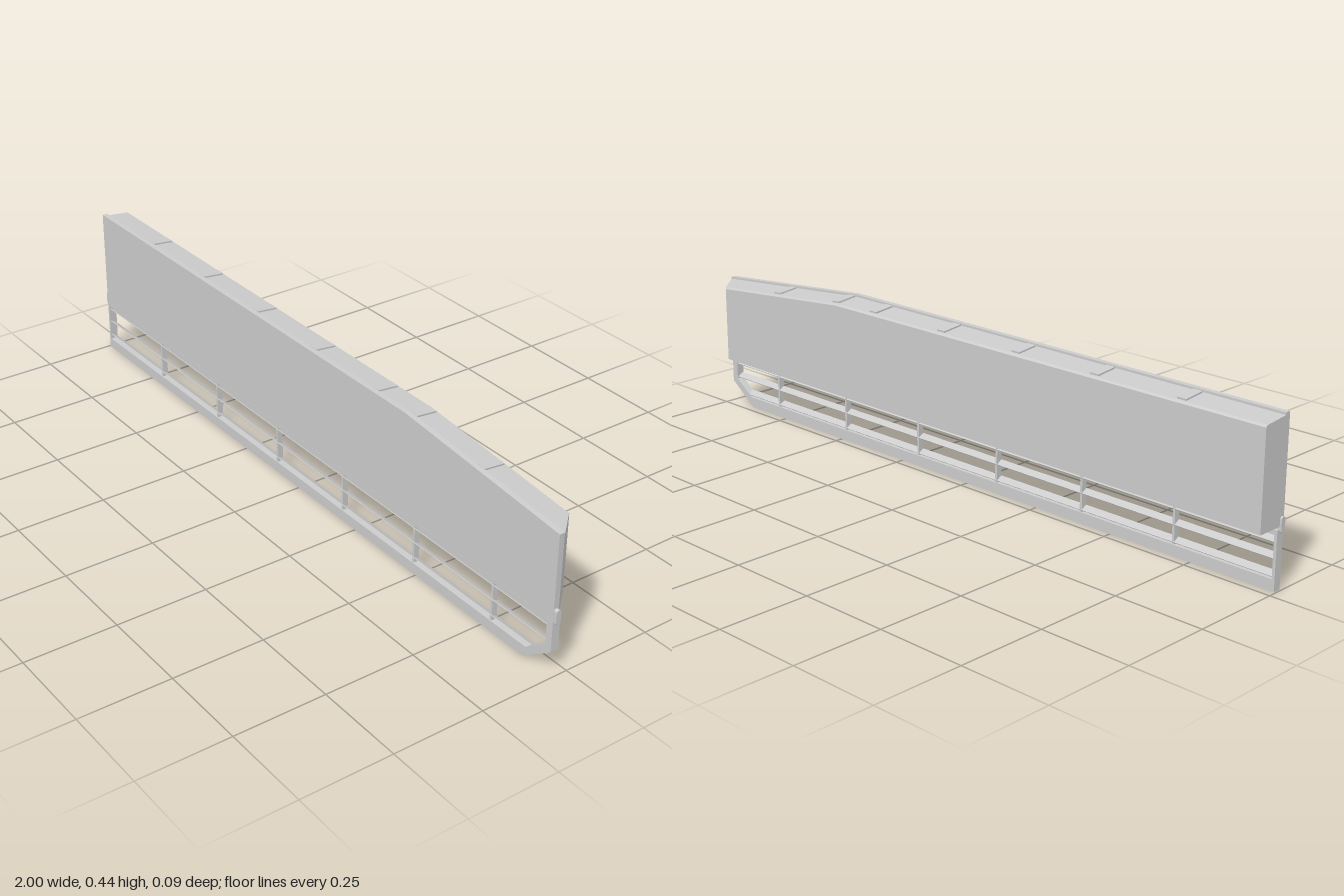
import * as THREE from 'three';

const LEFT = -0.995, RIGHT = 0.99, BEND = 0.44;
const FRONT = 0.045, PLATE_BACK = 0.03, BACK = -0.043;
const material = new THREE.MeshStandardMaterial({ color: 0xcccccc, flatShading: true });
const smooth = new THREE.MeshStandardMaterial({ color: 0xcccccc });

// Height of the top edge, which slopes down towards one end
const SLOPE = 0.05 / (RIGHT - BEND);
const topAt = (x) => 0.435 - Math.max(0, x - BEND) * SLOPE;

function polygon(points) {
  return new THREE.Shape(points.map(([x, y]) => new THREE.Vector2(x, y)));
}

function extrude(shape, depth, curveSegments = 1) {
  return new THREE.ExtrudeGeometry(shape, { depth, bevelEnabled: false, curveSegments });
}

// Casing: one cross-section swept along x, with an oblique end and a chamfered top rear edge
function casingGeometry() {
  const section = [[PLATE_BACK, null, 0.006], [-0.038, null, 0.013], [BACK, null, 0.018], [BACK, 0.16], [PLATE_BACK, 0.16]];
  const endX = (z) => RIGHT - 0.065 * (PLATE_BACK - z) / (PLATE_BACK - BACK);
  const stations = [() => LEFT, () => BEND, endX];
  const n = section.length, positions = [], index = [];
  for (const station of stations) {
    for (const [z, y, drop] of section) {
      const x = station(z);
      positions.push(x, y ?? topAt(x) - drop, z);
    }
  }
  for (let s = 0; s < 2; s++) {
    for (let i = 0; i < n; i++) {
      const a = s * n + i, b = s * n + (i + 1) % n;
      index.push(a, a + n, b, b, a + n, b + n);
    }
  }
  for (let i = 1; i < n - 1; i++) {
    index.push(0, i, i + 1);
    index.push(2 * n, 2 * n + i + 1, 2 * n + i);
  }
  const indexed = new THREE.BufferGeometry();
  indexed.setAttribute('position', new THREE.Float32BufferAttribute(positions, 3));
  indexed.setIndex(index);
  const geometry = indexed.toNonIndexed();
  geometry.computeVertexNormals();
  return geometry;
}

export function createModel() {
  const group = new THREE.Group();
  const add = (name, geometry, x = 0, y = 0, z = 0, mat = material) => {
    const mesh = new THREE.Mesh(geometry, mat);
    mesh.name = name;
    mesh.position.set(x, y, z);
    group.add(mesh);
    return mesh;
  };

  // Upper front plate and the casing behind it
  const plate = polygon([[LEFT, 0.165], [RIGHT, 0.165], [RIGHT, topAt(RIGHT)], [BEND, topAt(BEND)], [LEFT, topAt(LEFT)]]);
  add('frontPlate', extrude(plate, FRONT - PLATE_BACK), 0, 0, PLATE_BACK);
  add('rearCasing', casingGeometry());

  // Raised ribs across the sloping lid
  for (const x of [-0.75, -0.485, -0.225, 0.04, 0.3, 0.45, 0.7]) {
    const rib = add('lidRib', new THREE.BoxGeometry(0.027, 0.008, 0.06), x, topAt(x) - 0.009, -0.003);
    rib.rotation.set(-0.1, 0, x > BEND ? -Math.atan(SLOPE) : 0);
  }

  // Hinge rail with a capsule section between plate and grille
  const r = 0.0069;
  const capsule = new THREE.Shape();
  capsule.absarc(0, 0.014, r, 0, Math.PI);
  capsule.absarc(0, -0.014, r, Math.PI, Math.PI * 2);
  const rail = add('hingeRail', extrude(capsule, 2, 12), -1, 0.164, 0.0378, smooth);
  rail.rotation.y = Math.PI / 2;

  // Lower grille frame with one clipped corner
  const frame = polygon([[LEFT, 0], [0.9, 0], [RIGHT, 0.065], [RIGHT, 0.153], [LEFT, 0.153]]);
  frame.holes.push(polygon([[LEFT + 0.008, 0.03], [LEFT + 0.008, 0.14], [0.97, 0.14], [0.97, 0.075], [0.908, 0.03]]));
  add('grilleFrame', extrude(frame, 0.022), 0, 0, 0.023);

  // Uprights in the grille opening
  for (let i = 0; i < 6; i++) {
    add('grilleUpright', new THREE.BoxGeometry(0.007, 0.11, 0.016), -0.695 + i * 0.295, 0.085, 0.034);
  }

  // Tilted slats, front edge high
  for (const [y, end] of [[0.04, 0.925], [0.085, 0.972], [0.126, 0.972]]) {
    const start = LEFT + 0.006;
    const slat = add('grilleSlat', new THREE.BoxGeometry(end - start, 0.002, 0.02), (start + end) / 2, y, 0.034);
    slat.rotation.x = -0.52;
  }
  return group;
}
